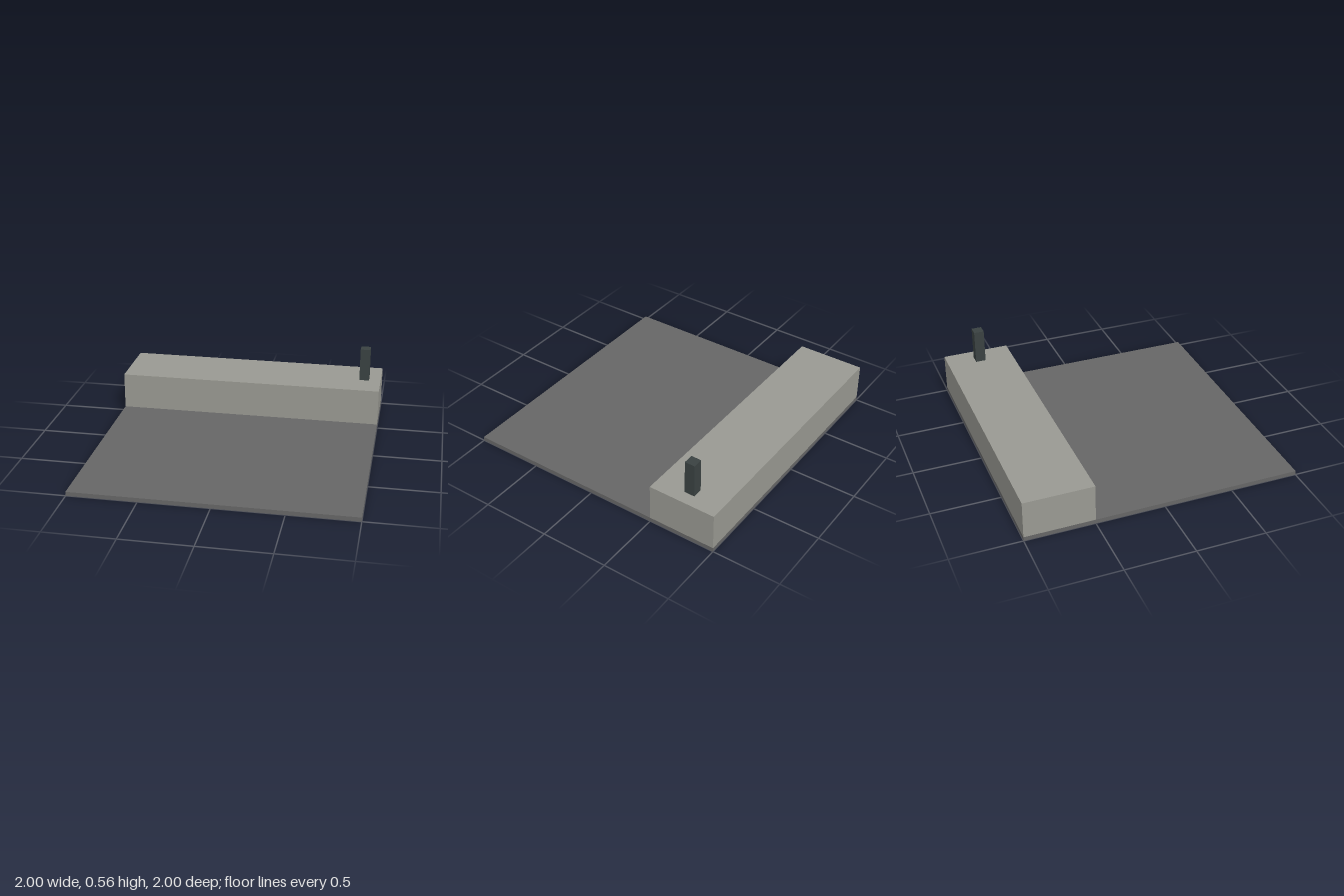
import * as THREE from 'three';

function material(name, color) {
  const m = new THREE.MeshStandardMaterial({ color });
  m.name = name;
  return m;
}

// Box given by its size, its centre in x and z, and the height of its base
function block(name, mat, [w, h, d], [x, base, z]) {
  const mesh = new THREE.Mesh(new THREE.BoxGeometry(w, h, d), mat);
  mesh.name = name;
  mesh.position.set(x, base + h / 2, z);
  return mesh;
}

export function createModel() {
  const asphalt = material('dark grey paving', 0x666666);
  const concrete = material('warm grey concrete', 0x999992);
  const iron = material('charcoal iron', 0x3a4242);

  const model = new THREE.Group();
  model.name = 'raisedKerb';
  model.add(
    // Thin ground slab
    block('groundSlab', asphalt, [2, 0.03, 2], [0, 0, 0]),
    // Raised platform along the back edge
    block('raisedPlatform', concrete, [2, 0.273, 0.5], [0, 0.03, -0.75]),
    // Short square post standing on the platform
    block('post', iron, [0.075, 0.252, 0.075], [0.873, 0.303, -0.752])
  );
  return model;
}
